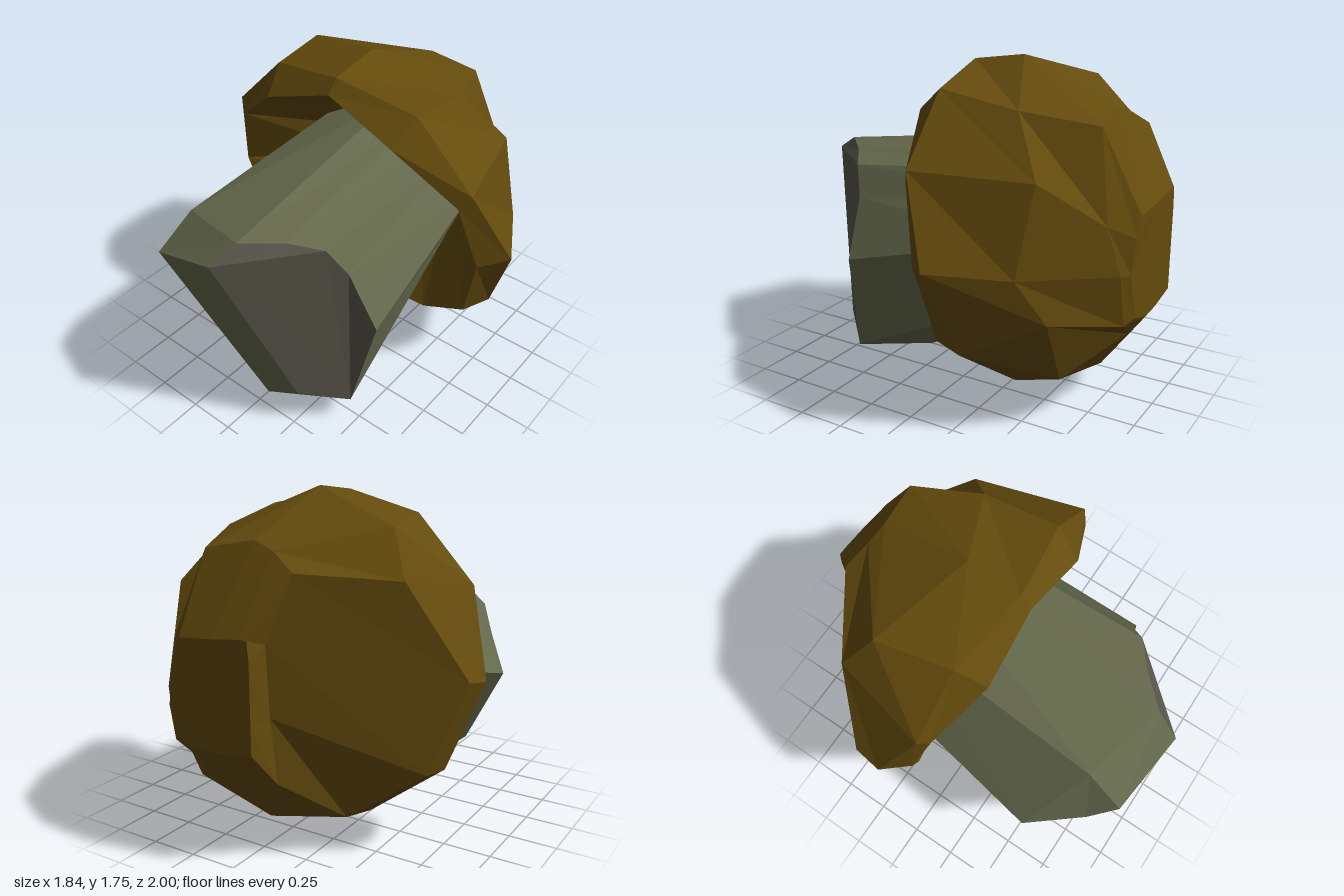
import * as THREE from 'three';

const material = (name, color) => {
  const m = new THREE.MeshStandardMaterial({ color, flatShading: true });
  m.name = name;
  return m;
};

// Non-indexed mesh from polygons, each fanned into triangles
function facetMesh(name, polygons, mat) {
  const pos = [];
  for (const p of polygons)
    for (let i = 1; i < p.length - 1; i++) pos.push(...p[0], ...p[i], ...p[i + 1]);
  const g = new THREE.BufferGeometry();
  g.setAttribute('position', new THREE.Float32BufferAttribute(pos, 3));
  g.computeVertexNormals();
  const mesh = new THREE.Mesh(g, mat);
  mesh.name = name;
  return mesh;
}

// Quads joining successive rings (clockwise from the front, ordered front to back)
function loft(rings) {
  const quads = [];
  for (let r = 0; r < rings.length - 1; r++) {
    const a = rings[r], b = rings[r + 1], n = a.length;
    for (let i = 0; i < n; i++) {
      const j = (i + 1) % n;
      quads.push([a[i], a[j], b[j], b[i]]);
    }
  }
  return quads;
}

// Full ring from its +x half, running from top to bottom
const mirrorRing = (half) =>
  [...half, ...half.slice(1, -1).reverse().map(([x, y, z]) => [-x, y, z])];

function createCap(mat) {
  const lip = mirrorRing([[0, 1.64, 0.13], [0.39, 1.5, 0.15], [0.71, 1.22, 0.02], [0.8, 0.84, -0.07],
    [0.71, 0.44, -0.14], [0.4, 0.22, -0.23], [0, 0.17, -0.26]]);
  const rim = mirrorRing([[0, 1.71, 0.07], [0.44, 1.62, 0], [0.76, 1.29, -0.02], [0.92, 0.87, -0.2],
    [0.77, 0.43, -0.31], [0.42, 0.17, -0.42], [0, 0.14, -0.43]]);
  // Underside narrows to a floor hidden inside the stem
  const hollow = lip.map(([x, y]) => [x * 0.45, 0.82 + (y - 0.82) * 0.45, -0.55 - (y - 0.82) * 0.09]);
  const hollowFloor = [...hollow].reverse();
  // Irregular chiselled back, with one broad flat cut on the -x side
  const crown = [[0, 1.75, -0.22], [0.42, 1.55, -0.42], [0.6, 1.27, -0.61], [0.72, 0.84, -0.57],
    [0.64, 0.62, -0.7], [0.45, 0.26, -0.68], [-0.01, 0.15, -0.7], [-0.39, 0.2, -0.6],
    [-0.75, 0.45, -0.47], [-0.9, 0.9, -0.35], [-0.65, 1.38, -0.53], [-0.52, 1.6, -0.4]];
  const back = [[0.02, 1.54, -0.74], [0.28, 1.49, -0.78], [0.41, 1.06, -0.88], [0.4, 0.83, -0.95],
    [0.36, 0.57, -0.96], [0.2, 0.46, -0.92], [0.03, 0.44, -0.91], [-0.17, 0.42, -0.86],
    [-0.15, 0.75, -0.88], [-0.14, 1.1, -0.89], [-0.24, 1.42, -0.81], [-0.1, 1.5, -0.76]];
  const tip = [[0.08, 1.12, -1], [0.28, 1.1, -0.99], [0.32, 1, -0.99], [0.35, 0.83, -0.98],
    [0.3, 0.6, -0.99], [0.2, 0.57, -1], [0.05, 0.57, -1], [-0.13, 0.6, -1],
    [-0.13, 0.75, -1], [-0.13, 1.05, -1], [-0.12, 1.14, -1], [-0.08, 1.14, -1]];
  return facetMesh('cap', [hollowFloor, ...loft([hollow, lip, rim, crown, back, tip]), tip], mat);
}

function createStem(sideMat, cutMat) {
  const group = new THREE.Group();
  group.name = 'stem';

  // Shaft: eight-sided with two extra points along the cut, running into the cap
  const front = [[0.05, 1.21, 0.86], [0.21, 1.19, 0.7], [0.36, 1.15, 0.59], [0.44, 1, 0.52],
    [0.59, 0.7, 0.49], [0.47, 0.15, 0.54], [0, 0, 0.38], [-0.38, 0.17, 0.42],
    [-0.71, 0.68, 0.56], [-0.39, 1.12, 0.74]];
  const rear = [[0, 1.38, -0.48], [0.15, 1.32, -0.48], [0.3, 1.25, -0.48], [0.37, 1.14, -0.48],
    [0.5, 0.94, -0.48], [0.37, 0.6, -0.48], [0, 0.43, -0.48], [-0.39, 0.6, -0.48],
    [-0.55, 0.94, -0.48], [-0.33, 1.25, -0.48]];
  const [topV, topR, upR, sideR, midR, lowR, bottom, lowL, midL, upL] = front;

  // Chipped end corners
  const peak = [0, 1.13, 1], brow = [-0.42, 0.97, 0.95], cheek = [-0.52, 0.83, 0.83];
  const jaw = [-0.48, 0.24, 0.6], foot = [0, 0, 0.68], chin = [0.28, 0.24, 0.74];

  group.add(
    facetMesh('stemShaft', loft([front, rear]), sideMat),
    facetMesh('stemChippedEnd', [
      [topV, upL, brow, peak], [upL, midL, cheek, brow], [midL, lowL, jaw, cheek],
      [lowL, bottom, foot, jaw], [lowR, chin, foot, bottom],
      [brow, foot, chin, peak], [brow, cheek, jaw, foot],
    ], sideMat),
    facetMesh('stemCutFace', [
      [peak, chin, lowR, upR, topR, topV], [lowR, midR, sideR, upR],
    ], cutMat),
  );
  return group;
}

export function createModel() {
  const model = new THREE.Group();
  model.name = 'mushroom';
  model.add(
    createCap(material('cap brown', 0x644b0d)),
    createStem(material('stem olive grey', 0x65694c), material('cut grey', 0x57554a)),
  );
  return model;
}
